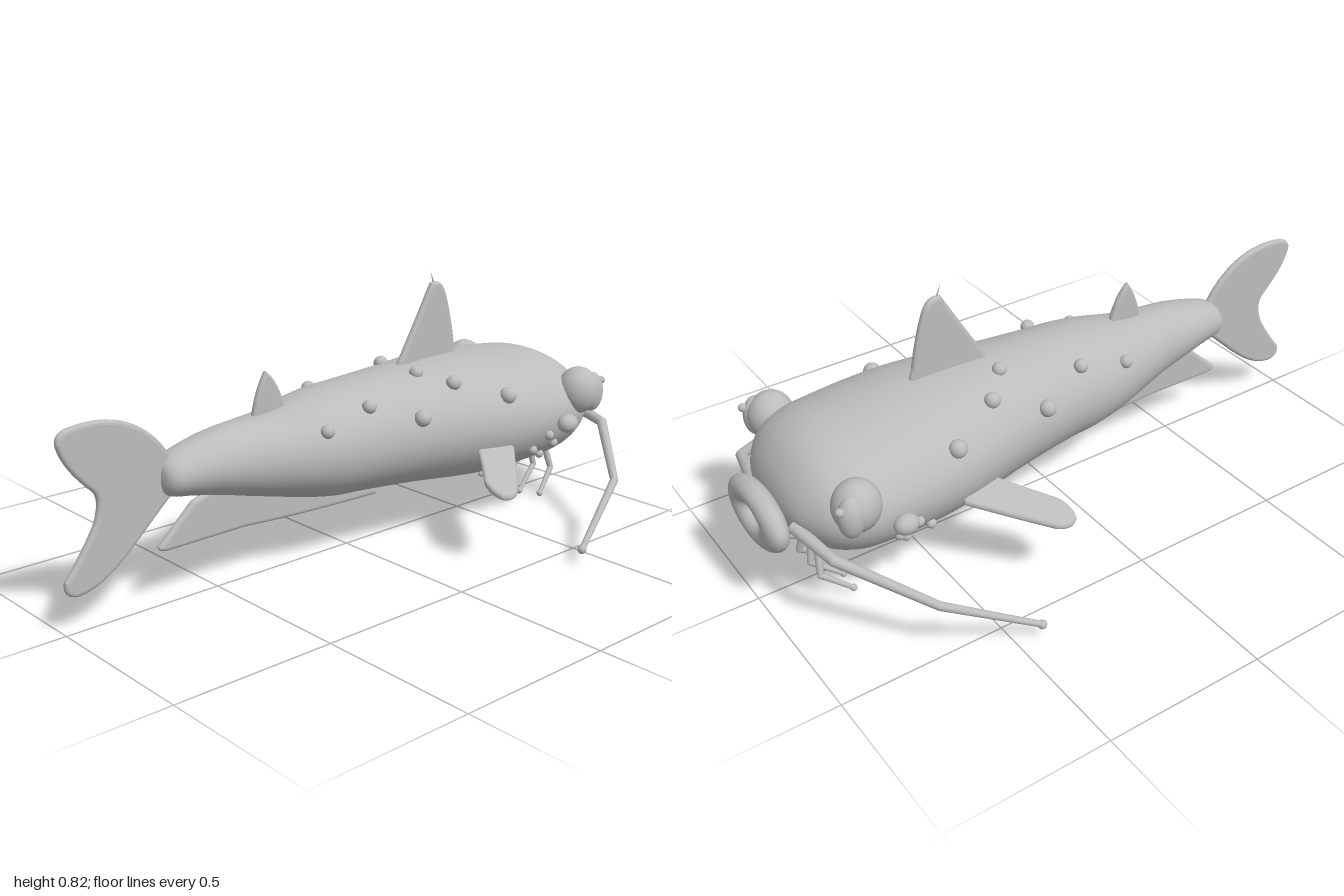
import * as THREE from 'three';

const skin = new THREE.MeshStandardMaterial({ color: 0xbcbcbc });
skin.name = 'grey skin';

function add(parent, name, geometry) {
  const mesh = new THREE.Mesh(geometry, skin);
  mesh.name = name;
  parent.add(mesh);
  return mesh;
}

// Lofted body from elliptical stations: z, half width, top y, bottom y
function bodyGeometry() {
  const stations = [
    [-0.935, 0.002, 0.332, 0.328], [-0.925, 0.11, 0.385, 0.285], [-0.9, 0.18, 0.435, 0.245],
    [-0.85, 0.245, 0.487, 0.193], [-0.78, 0.28, 0.517, 0.16], [-0.7, 0.29, 0.528, 0.148],
    [-0.55, 0.288, 0.543, 0.142], [-0.4, 0.27, 0.55, 0.147], [-0.2, 0.225, 0.543, 0.168],
    [0, 0.193, 0.535, 0.185], [0.1, 0.185, 0.53, 0.192], [0.2, 0.168, 0.515, 0.21],
    [0.3, 0.14, 0.496, 0.235], [0.4, 0.113, 0.488, 0.26], [0.5, 0.1, 0.478, 0.287],
    [0.6, 0.08, 0.457, 0.308], [0.655, 0.068, 0.438, 0.318], [0.682, 0.045, 0.415, 0.337],
    [0.69, 0.002, 0.377, 0.373],
  ];
  const sizes = new THREE.CatmullRomCurve3(
    stations.map(([z, w, t, b]) => new THREE.Vector3(w, (t - b) / 2, z)), false, 'catmullrom');
  const centres = new THREE.CatmullRomCurve3(
    stations.map(([z, , t, b]) => new THREE.Vector3(0, (t + b) / 2, z)), false, 'catmullrom');
  const rings = 72, sides = 48, pos = [], index = [];
  for (let i = 0; i <= rings; i++) {
    const s = sizes.getPoint(i / rings), c = centres.getPoint(i / rings);
    for (let j = 0; j < sides; j++) {
      const a = (j / sides) * Math.PI * 2;
      pos.push(s.x * Math.cos(a), c.y + s.y * Math.sin(a), s.z);
      if (i === rings) continue;
      const p = i * sides + j, q = i * sides + (j + 1) % sides;
      index.push(p, q, p + sides, q, q + sides, p + sides);
    }
  }
  const g = new THREE.BufferGeometry();
  g.setAttribute('position', new THREE.Float32BufferAttribute(pos, 3));
  g.setIndex(index);
  g.computeVertexNormals();
  return g;
}

// Thin bevelled plate from a shape, centred on its own plane
function plate(shape, bevel = 0.012) {
  const g = new THREE.ExtrudeGeometry(shape, {
    depth: 0.004, curveSegments: 16, bevelEnabled: true,
    bevelThickness: 0.01, bevelSize: bevel, bevelOffset: -bevel, bevelSegments: 3,
  });
  return g.translate(0, 0, -0.002);
}

// Upright fin whose shape is drawn in (z, y)
const uprightFin = (shape, bevel) => plate(shape, bevel).rotateY(-Math.PI / 2);

function ellipsoid(parent, name, [x, y, z], [rx, ry, rz]) {
  const m = add(parent, name, new THREE.SphereGeometry(1, 24, 16));
  m.position.set(x, y, z);
  m.scale.set(rx, ry, rz);
  return m;
}

// Tapered jointed whisker with a ball at the tip
function barbel(parent, name, points, r0, r1) {
  const pts = points.map(p => new THREE.Vector3(...p));
  const n = pts.length - 1;
  const radius = i => r0 + (r1 - r0) * i / n;
  for (let i = 0; i < n; i++) {
    const dir = pts[i + 1].clone().sub(pts[i]);
    const seg = add(parent, name, new THREE.CylinderGeometry(radius(i + 1), radius(i), dir.length(), 12));
    seg.position.copy(pts[i]).addScaledVector(dir, 0.5);
    seg.quaternion.setFromUnitVectors(new THREE.Vector3(0, 1, 0), dir.normalize());
    const last = i === n - 1, r = last ? r1 * 1.5 : radius(i + 1);
    ellipsoid(parent, last ? name + 'Tip' : name + 'Joint', points[i + 1], [r, r, r]);
  }
}

// Everything that exists on both flanks, built on +x
function buildSide() {
  const side = new THREE.Group();

  // Bulging eye with pupil and small glint
  ellipsoid(side, 'eye', [0.258, 0.41, -0.79], [0.067, 0.078, 0.07]);
  ellipsoid(side, 'pupil', [0.29, 0.405, -0.822], [0.035, 0.065, 0.04]);
  ellipsoid(side, 'eyeGlint', [0.298, 0.44, -0.858], [0.013, 0.013, 0.013]);

  // Cheek bumps
  ellipsoid(side, 'cheek', [0.315, 0.33, -0.675], [0.03, 0.03, 0.037]);
  for (const [x, y, z, r] of [[0.285, 0.295, -0.62, 0.016], [0.262, 0.25, -0.57, 0.015],
    [0.262, 0.255, -0.67, 0.015], [0.235, 0.217, -0.635, 0.014]])
    ellipsoid(side, 'cheekSpot', [x, y, z], [r, r, r]);

  // Raised back spots
  for (const [x, y, z, r] of [[0.145, 0.443, 0.2, 0.021], [0.14, 0.485, 0.033, 0.022],
    [0.2, 0.43, -0.13, 0.026], [0.165, 0.503, -0.297, 0.024],
    [0.243, 0.448, -0.462, 0.027], [0.08, 0.533, -0.217, 0.022]])
    ellipsoid(side, 'backSpot', [x, y, z], [r, r, r]);

  // Whiskers
  barbel(side, 'longBarbel', [[0.13, 0.312, -0.92], [0.29, 0.288, -0.885],
    [0.5, 0.182, -0.69], [0.593, 0.046, -0.425]], 0.02, 0.009);
  barbel(side, 'outerChinBarbel', [[0.075, 0.2, -0.835], [0.108, 0.09, -0.85],
    [0.136, 0.022, -0.765]], 0.013, 0.007);
  barbel(side, 'innerChinBarbel', [[0.018, 0.2, -0.825], [0.035, 0.085, -0.845],
    [0.054, 0.012, -0.755]], 0.013, 0.007);

  // Pectoral fin drawn in (x, z), sloping down outwards
  const s = new THREE.Shape();
  s.moveTo(0.22, -0.47);
  s.lineTo(0.275, -0.465);
  s.quadraticCurveTo(0.39, -0.35, 0.455, -0.28);
  s.quadraticCurveTo(0.48, -0.24, 0.455, -0.21);
  s.quadraticCurveTo(0.42, -0.195, 0.375, -0.22);
  s.quadraticCurveTo(0.31, -0.28, 0.22, -0.35);
  const g = plate(s).rotateX(Math.PI / 2);
  const p = g.attributes.position;
  for (let i = 0; i < p.count; i++) p.setY(i, p.getY(i) + 0.28 - (p.getX(i) - 0.27) * 0.29);
  g.computeVertexNormals();
  add(side, 'pectoralFin', g);
  return side;
}

export function createModel() {
  const fish = new THREE.Group();
  fish.name = 'catfish';
  add(fish, 'body', bodyGeometry());

  // Ring lips and mouth
  const lips = add(fish, 'lips', new THREE.TorusGeometry(0.1, 0.055, 20, 40));
  lips.position.set(0, 0.298, -0.965);
  lips.scale.set(1.04, 0.58, 0.64);
  ellipsoid(fish, 'mouth', [0, 0.298, -0.935], [0.09, 0.05, 0.02]);

  // Forked tail fin
  const tail = new THREE.Shape();
  tail.moveTo(0.64, 0.42);
  tail.bezierCurveTo(0.71, 0.55, 0.83, 0.6, 0.965, 0.575);
  tail.quadraticCurveTo(1.0, 0.565, 0.998, 0.535);
  tail.quadraticCurveTo(0.985, 0.47, 0.9, 0.39);
  tail.quadraticCurveTo(0.87, 0.36, 0.9, 0.29);
  tail.quadraticCurveTo(0.94, 0.22, 0.995, 0.155);
  tail.quadraticCurveTo(1.005, 0.11, 0.96, 0.106);
  tail.bezierCurveTo(0.85, 0.11, 0.76, 0.23, 0.64, 0.33);
  add(fish, 'tailFin', uprightFin(tail));

  // Main dorsal fin with its spine
  const dorsal = new THREE.Shape();
  dorsal.moveTo(-0.2, 0.5);
  dorsal.lineTo(-0.21, 0.54);
  dorsal.quadraticCurveTo(-0.29, 0.67, -0.355, 0.785);
  dorsal.quadraticCurveTo(-0.4, 0.8, -0.42, 0.74);
  dorsal.quadraticCurveTo(-0.455, 0.64, -0.47, 0.5);
  add(fish, 'dorsalFin', uprightFin(dorsal));
  const spine = add(fish, 'dorsalSpine', new THREE.ConeGeometry(0.004, 0.05, 8));
  spine.position.set(0, 0.8, -0.362);
  spine.rotation.x = 0.35;
  const ray = add(fish, 'dorsalRay', new THREE.CylinderGeometry(0.003, 0.016, 0.13, 12));
  ray.position.set(0, 0.58, -0.45);
  ray.rotation.x = 0.2;

  // Small rear dorsal fin
  const rear = new THREE.Shape();
  rear.moveTo(0.365, 0.47);
  rear.quadraticCurveTo(0.35, 0.56, 0.312, 0.615);
  rear.quadraticCurveTo(0.265, 0.58, 0.24, 0.48);
  add(fish, 'rearDorsalFin', uprightFin(rear, 0.01));

  // Long anal fin under the tail
  const anal = new THREE.Shape();
  anal.moveTo(-0.12, 0.23);
  anal.lineTo(-0.12, 0.14);
  anal.quadraticCurveTo(0.2, 0.145, 0.4, 0.162);
  anal.lineTo(0.66, 0.16);
  anal.quadraticCurveTo(0.71, 0.16, 0.695, 0.18);
  anal.lineTo(0.58, 0.285);
  anal.lineTo(0.5, 0.31);
  anal.lineTo(0.2, 0.26);
  add(fish, 'analFin', uprightFin(anal));

  // Mirrored flanks
  const left = buildSide();
  left.name = 'leftSide';
  const right = buildSide();
  right.name = 'rightSide';
  right.scale.x = -1;
  fish.add(left, right);
  return fish;
}
